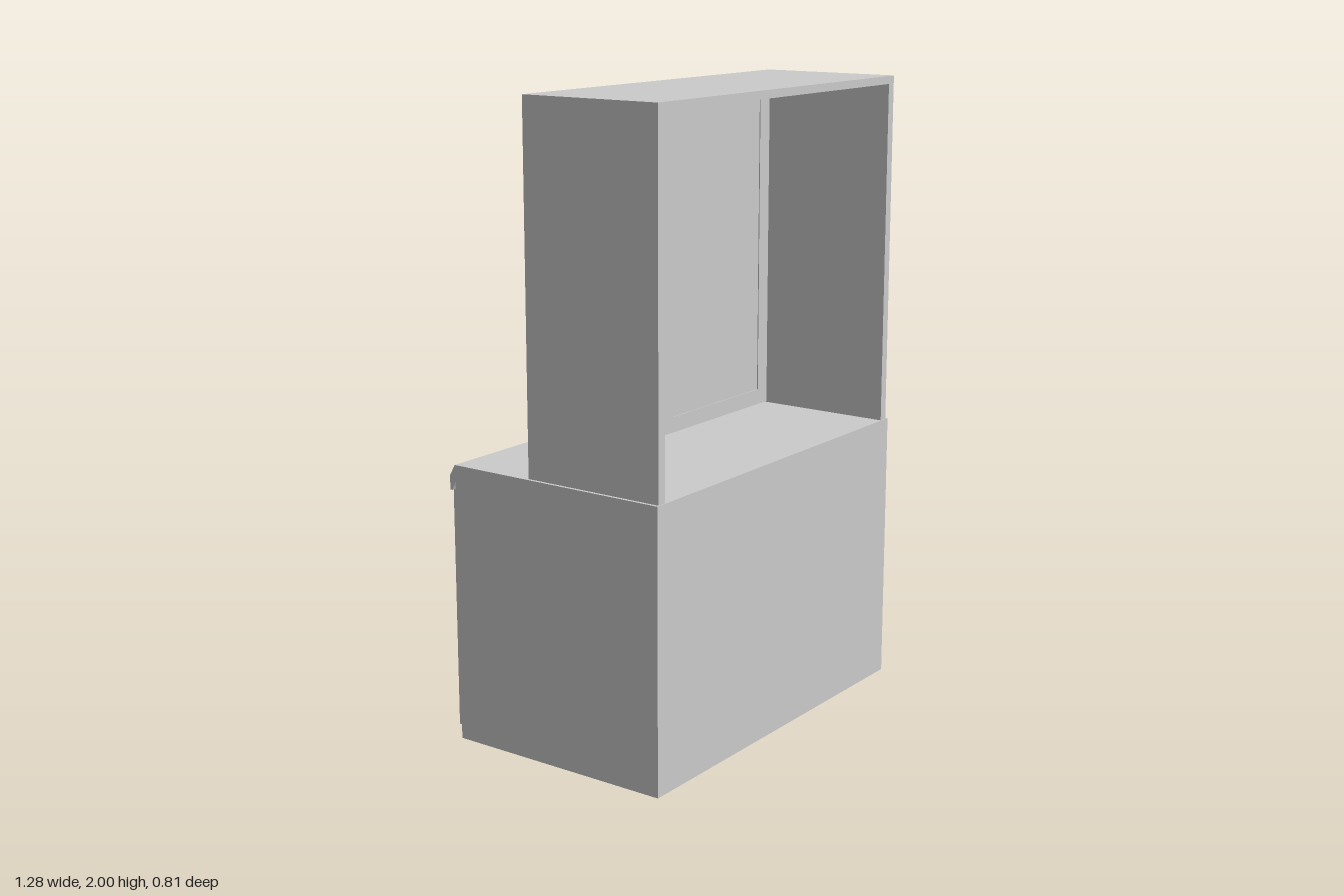
import * as THREE from 'three';

const mat = new THREE.MeshStandardMaterial({ color: 0xcccccc });

export function createModel() {
  const root = new THREE.Group();

  const add = (name, geo, x = 0, y = 0, z = 0) => {
    const m = new THREE.Mesh(geo, mat);
    m.name = name;
    m.position.set(x, y, z);
    root.add(m);
    return m;
  };
  // box given by its limits on each axis
  const box = (name, x0, x1, y0, y1, z0, z1) =>
    add(name, new THREE.BoxGeometry(x1 - x0, y1 - y0, z1 - z0),
      (x0 + x1) / 2, (y0 + y1) / 2, (z0 + z1) / 2);
  // turned knob pointing towards -z
  const knob = (name, x, y, z, r, len) => {
    const profile = [[0, 0], [0.55, 0], [0.55, 0.55], [0.9, 0.6], [1, 0.72], [1, 0.86], [0.85, 1], [0, 1]]
      .map(([a, b]) => new THREE.Vector2(a * r, b * len));
    add(name, new THREE.LatheGeometry(profile, 24), x, y, z).rotation.x = -Math.PI / 2;
  };

  // base cabinet
  box('baseCarcass', -0.64, 0.64, 0, 0.88, -0.352, 0.405);

  // sloped lip along the counter edge
  const lip = new THREE.Shape([[-0.35, 0.88], [-0.354, 0.88], [-0.374, 0.845], [-0.374, 0.8],
    [-0.366, 0.8], [-0.35, 0.835]].map(([z, y]) => new THREE.Vector2(z, y)));
  const lipGeo = new THREE.ExtrudeGeometry(lip, { depth: 1.28, bevelEnabled: false });
  lipGeo.rotateY(-Math.PI / 2);
  add('counterLip', lipGeo, 0.64);

  // hutch shell, open at +z
  for (const s of [-1, 1]) {
    box('hutchSide', s > 0 ? 0.6 : -0.63, s > 0 ? 0.63 : -0.6, 0.88, 2, -0.072, 0.402);
  }
  box('hutchTop', -0.6, 0.6, 1.975, 2, -0.072, 0.402);

  for (const s of [-1, 1]) {
    const span = (a, b) => (s > 0 ? [a, b] : [-b, -a]);

    // base door and knob
    box('baseDoor', ...span(0.01, 0.622), 0.035, 0.8, -0.377, -0.351);
    knob('baseKnob', s * 0.053, 0.525, -0.377, 0.025, 0.028);

    // hutch door: frame with a recessed panel
    const [x0, x1] = span(0.004, 0.596);
    const [h0, h1] = span(0.055, 0.542);
    const rect = (C, a, b, c, d) => new C([[a, c], [b, c], [b, d], [a, d]]
      .map(([x, y]) => new THREE.Vector2(x, y)));
    const frame = rect(THREE.Shape, x0, x1, 0.884, 1.971);
    frame.holes.push(rect(THREE.Path, h0, h1, 0.935, 1.922));
    add('hutchDoorFrame', new THREE.ExtrudeGeometry(frame, { depth: 0.027, bevelEnabled: false }), 0, 0, -0.072);
    box('hutchDoorPanel', h0, h1, 0.935, 1.922, -0.055, -0.048);
    knob('hutchKnob', s * 0.031, 1.457, -0.072, 0.018, 0.026);

    // hinge barrels
    for (const y of [1.01, 1.44, 1.87]) {
      add('hinge', new THREE.CylinderGeometry(0.006, 0.006, 0.08, 12), s * 0.597, y, -0.075);
    }
  }
  return root;
}
